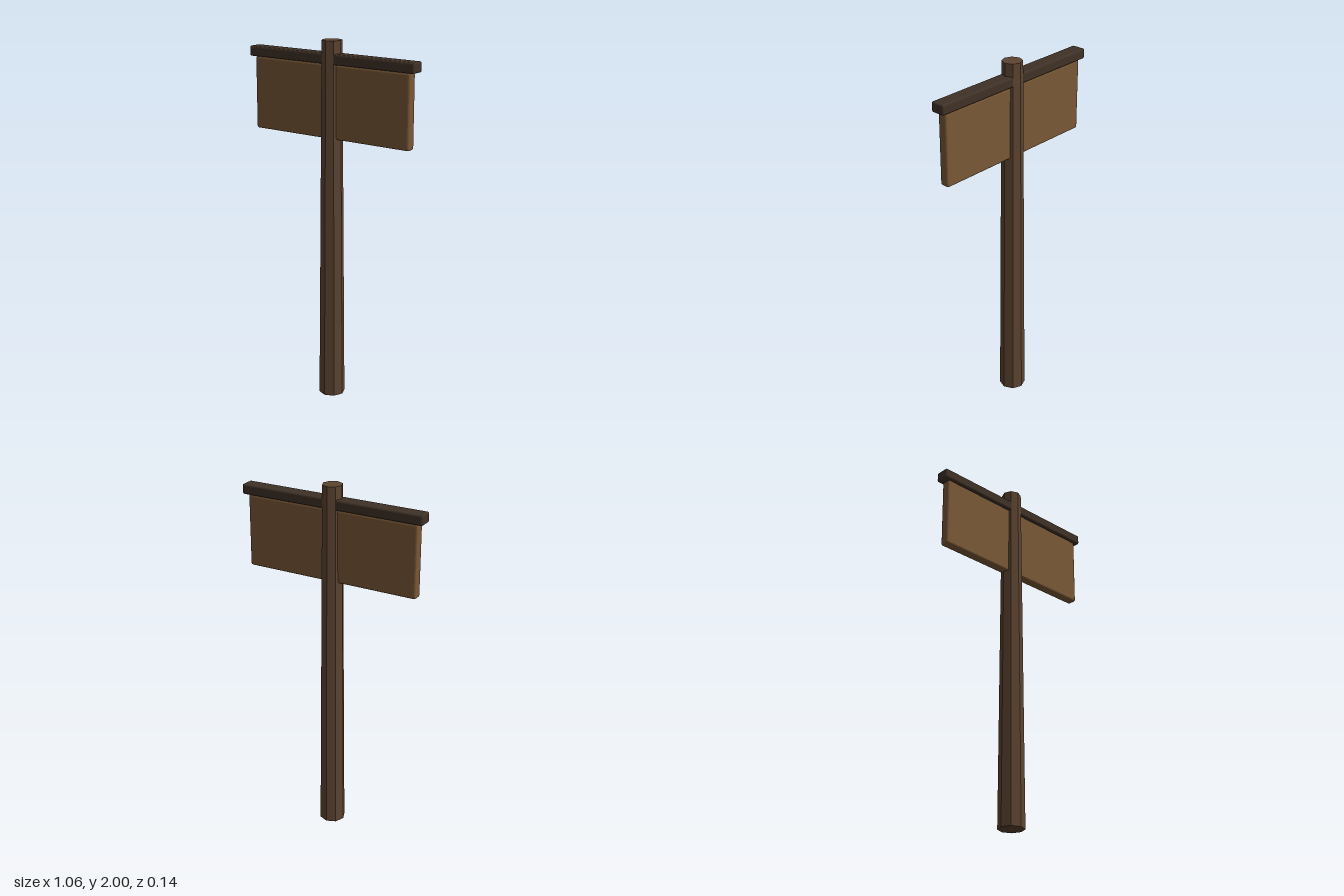
import * as THREE from 'three';
import { RoundedBoxGeometry } from 'three/addons/geometries/RoundedBoxGeometry.js';

export function createModel() {
  const model = new THREE.Group();
  model.name = 'signpost';

  const addPart = (name, geometry, color, y) => {
    const material = new THREE.MeshStandardMaterial({ color, flatShading: true });
    const mesh = new THREE.Mesh(geometry, material);
    mesh.name = name;
    mesh.position.y = y;
    model.add(mesh);
  };

  // Tapered eight-sided post
  addPart('post', new THREE.CylinderGeometry(0.055, 0.072, 2, 8), 0x5c4430, 1);

  // Sign panel running through the post
  addPart('signBoard', new RoundedBoxGeometry(1, 0.4, 0.055, 2, 0.012), 0x7a5836, 1.676);

  // Dark cap rail along the top of the panel
  addPart('capRail', new RoundedBoxGeometry(1.06, 0.056, 0.08, 2, 0.01), 0x3f3126, 1.903);

  return model;
}
